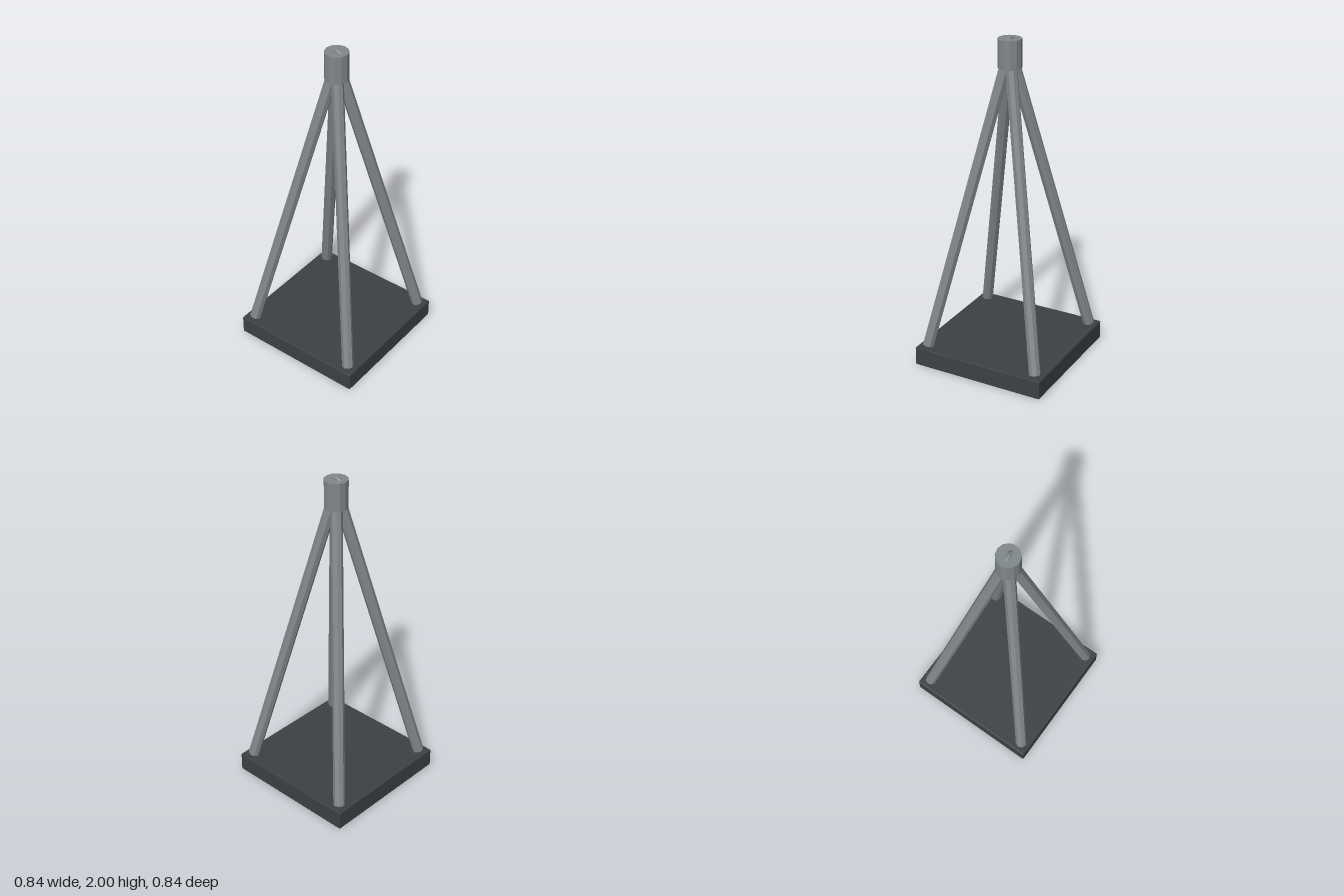
import * as THREE from 'three';
import { RoundedBoxGeometry } from 'three/addons/geometries/RoundedBoxGeometry.js';

export function createModel() {
  const model = new THREE.Group();
  const dark = new THREE.MeshStandardMaterial({ color: 0x3c4144, flatShading: true });
  const steel = new THREE.MeshStandardMaterial({ color: 0x81888a, flatShading: true });

  const add = (name, geometry, material, y, parent = model) => {
    const mesh = new THREE.Mesh(geometry, material);
    mesh.name = name;
    mesh.position.y = y;
    parent.add(mesh);
    return mesh;
  };

  // Square plinth with a fine bevel
  add('base', new RoundedBoxGeometry(0.84, 0.115, 0.84, 1, 0.005), dark, 0.0575);

  // Four octagonal struts leaning from the corners to the apex
  const foot = { y: 0.12, r: 0.513 };
  const tip = { y: 1.9, r: 0.006 };
  const rise = tip.y - foot.y;
  const run = foot.r - tip.r;
  const legGeometry = new THREE.CylinderGeometry(0.035, 0.035, Math.hypot(rise, run), 8);
  for (let i = 0; i < 4; i++) {
    const pivot = new THREE.Group();
    pivot.name = `legPivot${i + 1}`;
    pivot.rotation.y = Math.PI / 4 + (i * Math.PI) / 2;
    model.add(pivot);
    const leg = add(`leg${i + 1}`, legGeometry, steel, (foot.y + tip.y) / 2, pivot);
    leg.position.z = (foot.r + tip.r) / 2;
    leg.rotation.x = -Math.atan2(run, rise);
  }

  // Collar joining the struts
  add('topCollar', new THREE.CylinderGeometry(0.07, 0.07, 0.17, 12), steel, 1.9);

  // Upright ring, mostly sunk into the collar
  add('topRing', new THREE.TorusGeometry(0.045, 0.015, 6, 16), steel, 1.94);

  return model;
}
